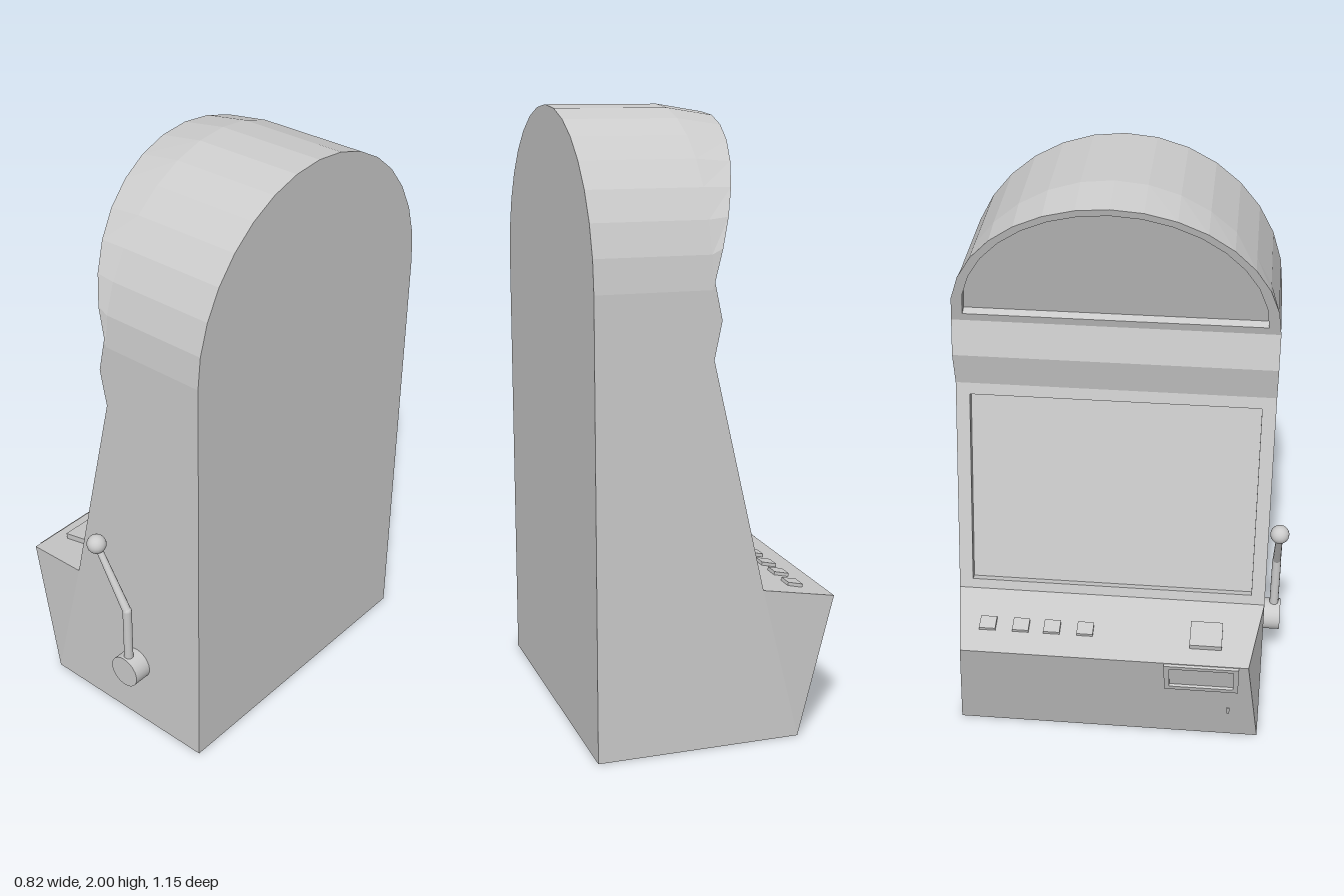
import * as THREE from 'three';

const GREY = new THREE.MeshStandardMaterial({ color: 0xcccccc, flatShading: true });
const SMOOTH = new THREE.MeshStandardMaterial({ color: 0xcccccc });

const ZC = -0.036, HALF = 0.537, BACK = 0.41, SPRING = 1.463, ARCH_SEGS = 16;
// Front profile corners (x, y); the cabinet faces -x
const TOE = [-0.26, 0], LIP = [-0.40, 0.445], DESK = [-0.135, 0.505];
const BROW = [0.035, 1.25], RIDGE = [0.01, 1.37], SILL = [0.035, 1.49], PEAK = [-0.115, 1.975];
const LIP_HALF = 0.4925;

function mesh(name, geometry, material = GREY) {
  const m = new THREE.Mesh(geometry, material);
  m.name = name;
  return m;
}

// Flat-shaded geometry from polygons, each fanned from its first corner
function polygons(list) {
  const pos = [];
  for (const p of list)
    for (let i = 1; i < p.length - 1; i++) pos.push(...p[0], ...p[i], ...p[i + 1]);
  const g = new THREE.BufferGeometry();
  g.setAttribute('position', new THREE.Float32BufferAttribute(pos, 3));
  g.computeVertexNormals();
  return g;
}

// Group lying on the slope from a up to b: local x = across, y = up the slope, z = outward
function slope(name, a, b) {
  const v = new THREE.Vector3(b[0] - a[0], b[1] - a[1], 0).normalize();
  const u = new THREE.Vector3(0, 0, 1);
  const group = new THREE.Group();
  group.name = name;
  group.applyMatrix4(new THREE.Matrix4()
    .makeBasis(u, v, u.clone().cross(v)).setPosition(a[0], a[1], ZC));
  return group;
}

const dist = (a, b) => Math.hypot(b[0] - a[0], b[1] - a[1]);
const rect = (x0, y0, x1, y1) => [[x0, y0], [x1, y0], [x1, y1], [x0, y1]];
const toVecs = pts => pts.map(p => new THREE.Vector2(...p));

function holedShape(outline, hole) {
  const s = new THREE.Shape(toVecs(outline));
  s.holes.push(new THREE.Path(toVecs(hole)));
  return s;
}

// Frame, reveal and sunken pane; both outlines run counter-clockwise
function addRecess(group, outline, hole, depth) {
  group.add(mesh('frame', new THREE.ShapeGeometry(holedShape(outline, hole))));
  const pane = mesh('pane', new THREE.ShapeGeometry(new THREE.Shape(toVecs(hole))));
  pane.position.z = -depth;
  const walls = hole.map((a, i) => {
    const b = hole[(i + 1) % hole.length];
    return [[...a, 0], [...b, 0], [...b, -depth], [...a, -depth]];
  });
  group.add(pane, mesh('reveal', polygons(walls)));
}

// Half-ellipse arch, from the right end over the top to the left end
function arch(rx, ry, y0) {
  return Array.from({ length: ARCH_SEGS + 1 }, (_, i) => {
    const a = Math.PI * i / ARCH_SEGS;
    return [rx * Math.cos(a), y0 + ry * Math.sin(a)];
  });
}

function addBlock(group, name, u, v, w, h, d) {
  const m = mesh(name, new THREE.BoxGeometry(w, h, d));
  m.position.set(u, v, d / 2 - 0.001);
  group.add(m);
}

function buildCabinet() {
  const faces = [];
  const zL = ZC + HALF, zR = ZC - HALF;

  // Side walls and the tapered cheeks of the desk
  for (const s of [1, -1]) {
    const z = ZC + s * HALF;
    const outline = [[BACK, 0], [BACK, SPRING], [0.04, SPRING], SILL, RIDGE, BROW, DESK, TOE]
      .map(p => [...p, z]);
    const cheek = [[...TOE, z], [...DESK, z], [...LIP, ZC + s * LIP_HALF]];
    faces.push(s > 0 ? outline : [outline[0], ...outline.slice(1).reverse()]);
    faces.push(s > 0 ? cheek : cheek.reverse());
  }

  // Kick panel, desk top and the two strips of the brow
  const strip = (a, b, ha, hb) => faces.push([
    [...a, ZC - ha], [...a, ZC + ha], [...b, ZC + hb], [...b, ZC - hb]]);
  strip(TOE, LIP, HALF, LIP_HALF);
  strip(LIP, DESK, LIP_HALF, HALF);
  strip(BROW, RIDGE, HALF, HALF);
  strip(RIDGE, SILL, HALF, HALF);

  // Underside and back
  faces.push([[TOE[0], 0, zR], [BACK, 0, zR], [BACK, 0, zL], [TOE[0], 0, zL]]);
  const round = arch(HALF, HALF, SPRING);
  faces.push([[BACK, 0, zL], [BACK, 0, zR],
    ...round.map(([z, y]) => [BACK, y, ZC + z]).reverse()]);

  // Rounded roof, drooping slightly towards its slanted front rim
  const lean = (PEAK[0] - SILL[0]) / (PEAK[1] - SILL[1]);
  const rim = arch(HALF, PEAK[1] - SILL[1], SILL[1])
    .map(([z, y]) => [SILL[0] + (y - SILL[1]) * lean, y, ZC + z]);
  const rings = [rim, ...[0.04, BACK].map(x => round.map(([z, y]) => [x, y, ZC + z]))];
  for (let r = 0; r < 2; r++)
    for (let i = 0; i < ARCH_SEGS; i++)
      faces.push([rings[r][i], rings[r + 1][i], rings[r + 1][i + 1], rings[r][i + 1]]);

  return mesh('cabinet', polygons(faces));
}

function buildLever() {
  const lever = new THREE.Group();
  lever.name = 'lever';
  const hub = mesh('leverHub', new THREE.CylinderGeometry(0.057, 0.057, 0.066, 24), SMOOTH);
  hub.rotation.x = Math.PI / 2;
  hub.position.set(0.13, 0.247, 0.532);
  lever.add(hub);

  const Z = 0.541;
  const rod = (name, a, b, r0, r1) => {
    const from = new THREE.Vector3(...a, Z), to = new THREE.Vector3(...b, Z);
    const m = mesh(name, new THREE.CylinderGeometry(r1, r0, from.distanceTo(to), 12), SMOOTH);
    m.position.copy(from).lerp(to, 0.5);
    m.quaternion.setFromUnitVectors(new THREE.Vector3(0, 1, 0), to.sub(from).normalize());
    lever.add(m);
  };
  rod('leverShank', [0.13, 0.25], [0.13, 0.5], 0.016, 0.016);
  rod('leverArm', [0.13, 0.5], [0, 0.715], 0.015, 0.011);
  const elbow = mesh('leverElbow', new THREE.SphereGeometry(0.016, 12, 8), SMOOTH);
  elbow.position.set(0.13, 0.5, Z);
  const knob = mesh('leverKnob', new THREE.SphereGeometry(0.033, 20, 14), SMOOTH);
  knob.position.set(0, 0.715, Z);
  lever.add(elbow, knob);
  return lever;
}

export function createModel() {
  const model = new THREE.Group();
  model.name = 'slotMachine';

  // Main screen
  const screen = slope('screen', DESK, BROW);
  const h = dist(DESK, BROW);
  addRecess(screen, rect(-HALF, 0, HALF, h), rect(-0.49, 0.035, 0.49, h - 0.04), 0.027);

  // Arched sign above the brow
  const sign = slope('archedSign', SILL, PEAK);
  const rise = dist(SILL, PEAK);
  addRecess(sign, arch(HALF, rise, 0), arch(HALF - 0.04, rise - 0.055, 0.03), 0.03);

  // Buttons on the desk
  const desk = slope('deskButtons', LIP, DESK);
  for (const z of [-0.448, -0.333, -0.225, -0.11])
    addBlock(desk, 'button', z - ZC, 0.118, 0.056, 0.052, 0.012);
  addBlock(desk, 'spinButton', 0.307 - ZC, 0.118, 0.11, 0.102, 0.021);

  // Note acceptor frame and key slot on the kick panel
  const kick = slope('kickPanelFittings', TOE, LIP);
  kick.add(mesh('noteAcceptor', new THREE.ExtrudeGeometry(
    holedShape(rect(0.206, 0.312, 0.461, 0.463), rect(0.224, 0.332, 0.443, 0.445)),
    { depth: 0.01, bevelEnabled: false })));
  addBlock(kick, 'keySlot', 0.43, 0.17, 0.01, 0.035, 0.004);

  model.add(buildCabinet(), screen, sign, desk, kick, buildLever());
  return model;
}
